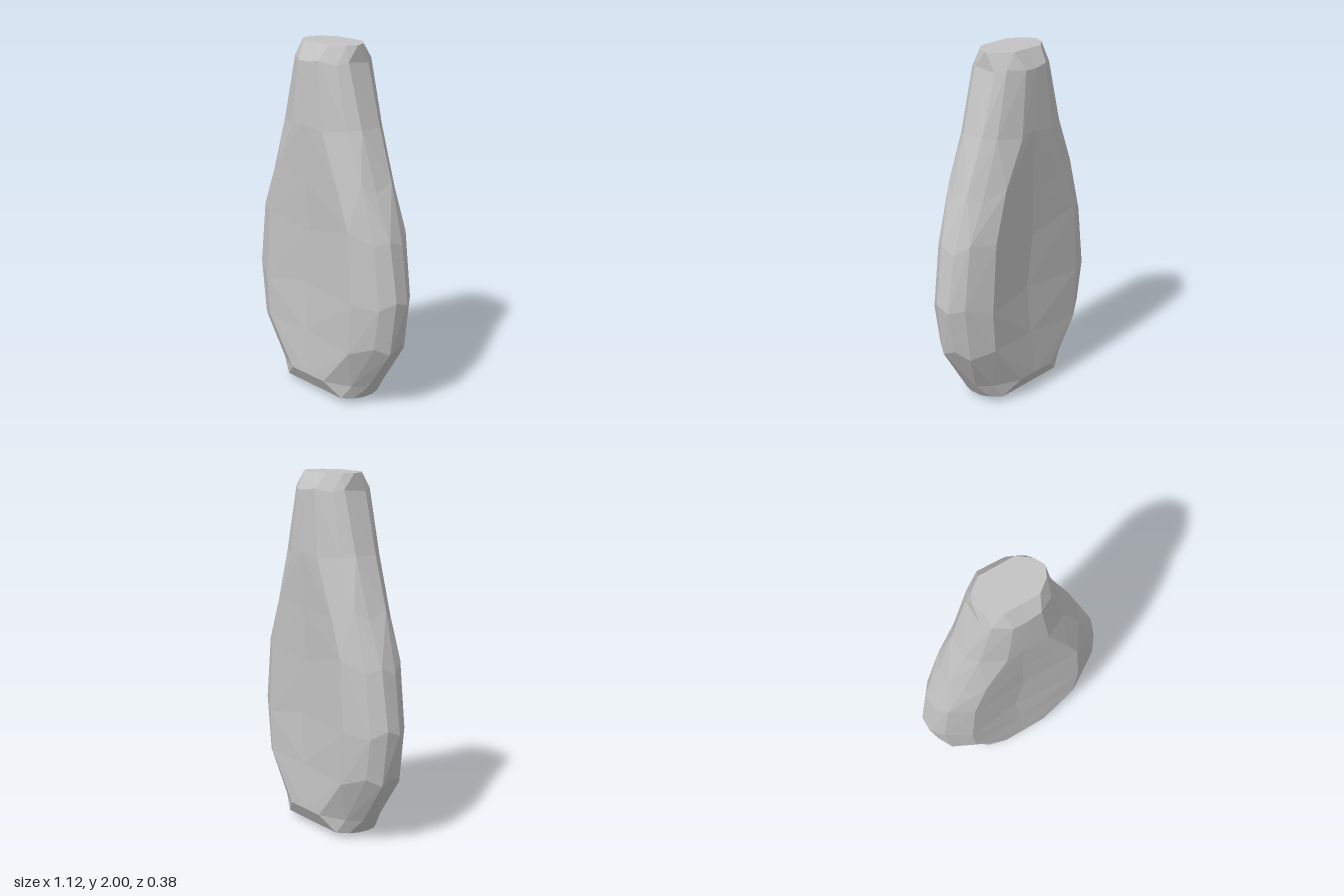
import * as THREE from 'three';

// Cross-sections from base to top: height, half width, half width of the broad faces,
// half depth at their rims, half depth in their hollow middle, half width of the narrow side, stagger
const levels = [
  [0.005, 0.16, 0.10, 0.01, 0.01, 0.003, 0],
  [0.035, 0.30, 0.23, 0.14, 0.14, 0.035, 0],
  [0.12, 0.355, 0.135, 0.19, 0.19, 0.05, 0],
  [0.37, 0.515, 0.34, 0.187, 0.178, 0.04, 0.025],
  [0.64, 0.56, 0.36, 0.188, 0.166, 0.04, 0.03],
  [1.0, 0.51, 0.33, 0.187, 0.166, 0.045, 0.04],
  [1.27, 0.41, 0.25, 0.188, 0.178, 0.055, 0.03],
  [1.56, 0.305, 0.125, 0.19, 0.19, 0.065, 0.015],
  [1.91, 0.205, 0.08, 0.175, 0.178, 0.07, 0.01],
  [2.0, 0.205, 0.105, 0.117, 0.117, 0.005, 0],
];

// Fourteen-sided flattened ring; the back is the front turned half way round
function makeRing([y, w, f, d, hollow, e, s], level) {
  const shoulderX = f + (w - f) * 0.72;
  const shoulderZ = e + (d - e) * 0.5;
  const half = [
    [w, e], [shoulderX, shoulderZ], [f, d], [0, hollow],
    [-f, d], [-shoulderX, shoulderZ], [-w, e],
  ].map(([x, z], i) => {
    const wobble = Math.sin(i * 2.4 + level * 1.9);
    const dx = i === 3 ? -s * (1 + wobble) : 0;
    return new THREE.Vector3(x + dx, y + s * wobble, z);
  });
  return [...half, ...half.map((p) => new THREE.Vector3(-p.x, p.y, -p.z))];
}

function makeStone() {
  const rings = levels.map(makeRing);
  const n = rings[0].length;
  const positions = [];
  const tri = (...points) => points.forEach((p) => positions.push(p.x, p.y, p.z));
  const plane = new THREE.Plane();

  // Faceted sides, each split along its outward fold
  for (let j = 0; j < rings.length - 1; j++) {
    for (let i = 0; i < n; i++) {
      const k = (i + 1) % n;
      const a = rings[j][i], b = rings[j][k], c = rings[j + 1][k], d = rings[j + 1][i];
      plane.setFromCoplanarPoints(a, d, c);
      if (plane.distanceToPoint(b) > 0) {
        tri(a, d, b);
        tri(b, d, c);
      } else {
        tri(a, d, c);
        tri(a, c, b);
      }
    }
  }

  // Flat top and slightly hollow base
  const top = new THREE.Vector3(0, 2, 0);
  const base = new THREE.Vector3(0, 0.015, 0);
  const last = rings[rings.length - 1];
  for (let i = 0; i < n; i++) {
    const k = (i + 1) % n;
    tri(top, last[k], last[i]);
    tri(base, rings[0][i], rings[0][k]);
  }

  const geometry = new THREE.BufferGeometry();
  geometry.setAttribute('position', new THREE.Float32BufferAttribute(positions, 3));
  geometry.computeVertexNormals();
  return geometry;
}

export function createModel() {
  const group = new THREE.Group();
  group.name = 'standingStone';
  const stoneGrey = new THREE.MeshStandardMaterial({ color: 0xc3c3c3, flatShading: true });
  stoneGrey.name = 'stone grey';
  const stone = new THREE.Mesh(makeStone(), stoneGrey);
  stone.name = 'stone';
  group.add(stone);
  return group;
}
